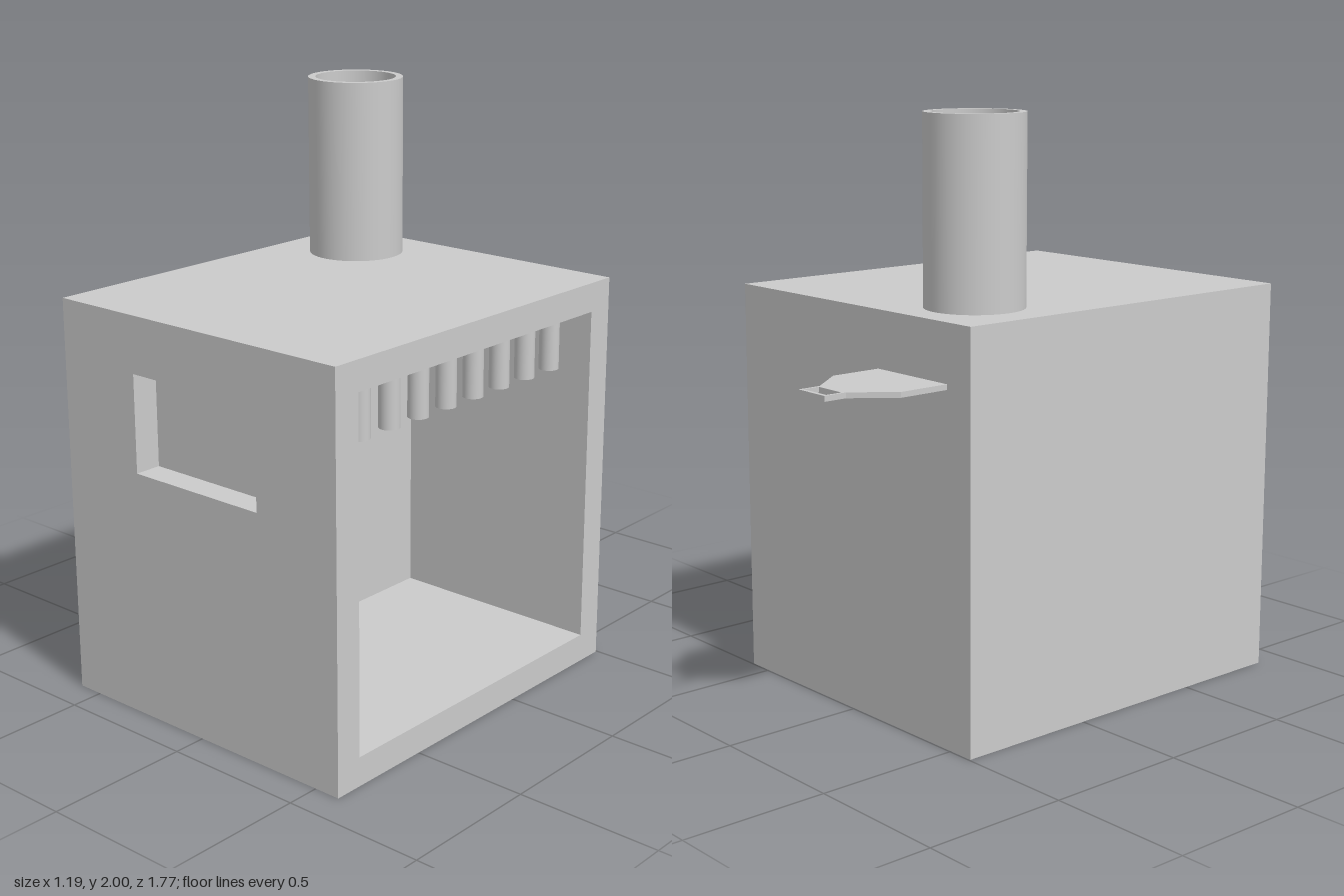
import * as THREE from 'three';

const mat = new THREE.MeshStandardMaterial({ color: 0xcccccc });

// Overall bounds of the body and its wall thickness
const X = 0.593, Y = 1.38, Z0 = -0.495, Z1 = 0.885, T = 0.1;
const INNER_X = -0.19; // end wall of the open chamber

function add(parent, name, geometry) {
  const mesh = new THREE.Mesh(geometry, mat);
  mesh.name = name;
  parent.add(mesh);
  return mesh;
}

// Box given by its minimum and maximum corners
function block(parent, name, a, b) {
  const g = new THREE.BoxGeometry(b[0] - a[0], b[1] - a[1], b[2] - a[2]);
  g.translate((a[0] + b[0]) / 2, (a[1] + b[1]) / 2, (a[2] + b[2]) / 2);
  return add(parent, name, g);
}

const points = (list) => list.map(([x, y]) => new THREE.Vector2(x, y));
const rect = (x0, y0, x1, y1) => points([[x0, y0], [x1, y0], [x1, y1], [x0, y1]]);

function plate(outline, hole, depth) {
  const shape = new THREE.Shape(outline);
  shape.holes.push(new THREE.Path(hole));
  return new THREE.ExtrudeGeometry(shape, { depth, bevelEnabled: false });
}

export function createModel() {
  const model = new THREE.Group();
  model.name = 'furnace';

  // Body: a thick box, open on its left side
  const body = new THREE.Group();
  body.name = 'body';
  model.add(body);
  const pane = Z1 - T, recess = 0.095;
  block(body, 'floor', [-X, 0, Z0], [X, T, pane]);
  block(body, 'ceiling', [-X, Y - T, Z0], [X, Y, pane]);
  block(body, 'backWall', [-X, T, Z0], [X, Y - T, Z0 + T]);
  block(body, 'endBlock', [-X, T, Z0 + T], [INNER_X, Y - T, pane]);
  block(body, 'frontLining', [-X, 0, pane], [X, Y, Z1 - recess]);

  // Front wall with the recessed window
  const front = plate(rect(-X, 0, X, Y), rect(-0.267, 0.853, 0.267, 1.187), recess);
  add(body, 'frontWall', front).position.z = Z1 - recess;

  // Hollow chimney, reaching a little below the ceiling
  const chimney = add(model, 'chimney', new THREE.LatheGeometry(points([
    [0.14, 1.245], [0.165, 1.245], [0.165, 1.245], [0.165, 2],
    [0.165, 2], [0.14, 2], [0.14, 2], [0.14, 1.245],
  ]), 48));
  chimney.position.set(-0.315, 0, -0.235);

  // Row of rods hanging along the open side
  const rods = new THREE.Group();
  rods.name = 'hangingRods';
  model.add(rods);
  for (let i = 0; i < 8; i++) {
    const rod = add(rods, 'rod', new THREE.CylinderGeometry(0.034, 0.034, 0.19, 24));
    rod.position.set(0.5, 1.185, 0.675 - i * 0.1375);
  }

  // Flat damper plate with a looped grip, sticking out of the back
  const damper = plate(points([
    [-0.483, 0.49], [-0.145, 0.49], [-0.145, 0.675], [-0.249, 0.805],
    [-0.249, 0.885], [-0.38, 0.885], [-0.38, 0.805], [-0.483, 0.675],
  ]), rect(-0.371, 0.815, -0.258, 0.872), 0.018);
  damper.rotateX(-Math.PI / 2);
  add(model, 'damperPlate', damper).position.y = 1.17;

  return model;
}
